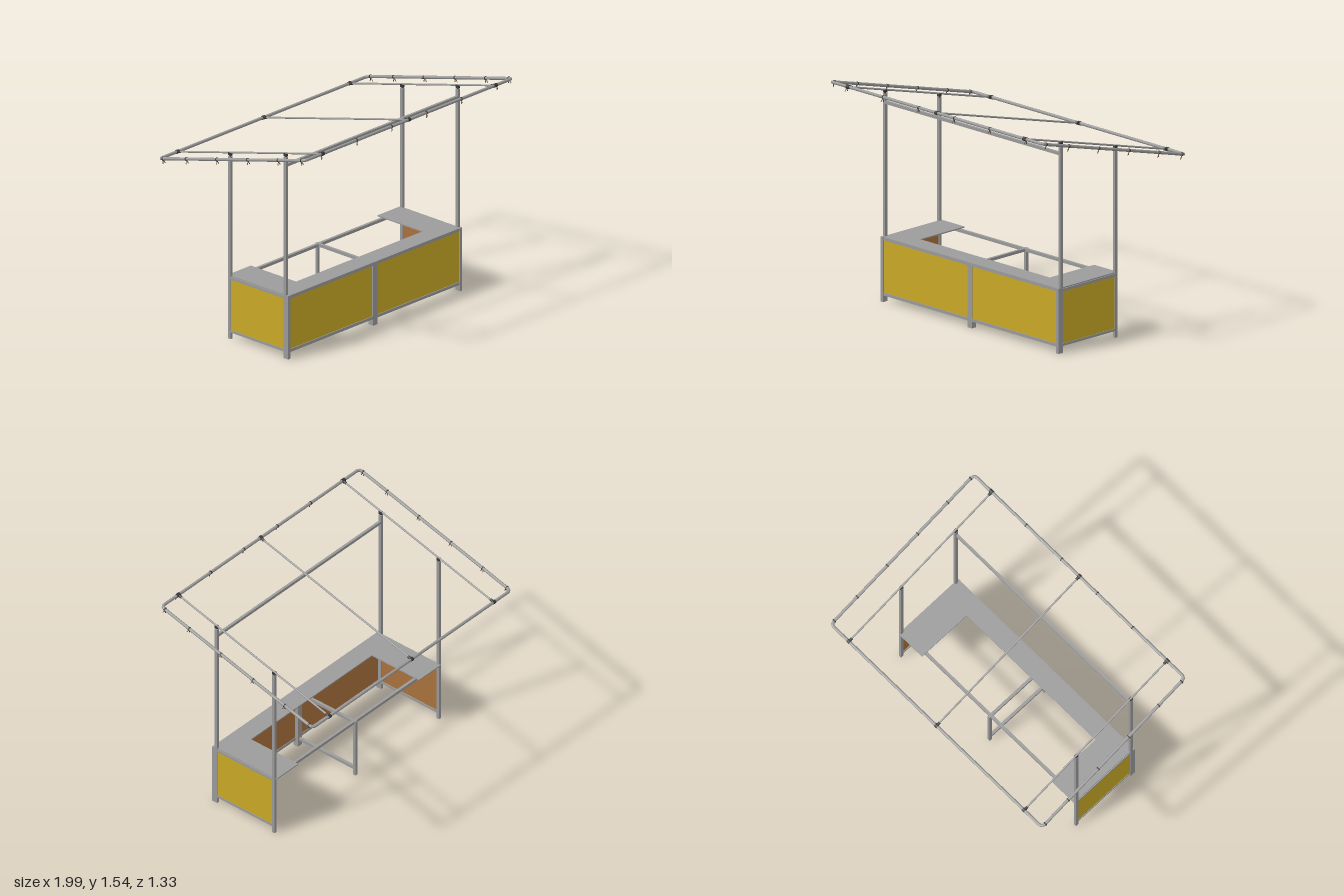
import * as THREE from 'three';

export function createModel() {
  const mat = (name, color, side = THREE.FrontSide) => {
    const m = new THREE.MeshStandardMaterial({ color, side });
    m.name = name;
    return m;
  };
  const steel = mat('steel grey', 0x9a9a9a);
  const counterGrey = mat('counter grey', 0x9c9c9c);
  const yellow = mat('panel yellow', 0xc9a825);
  const wood = mat('panel wood', 0xa8713d);
  const dark = mat('clamp dark', 0x3a3a3a);
  const clipBrown = mat('clip brown', 0x8a6a4a);

  const model = new THREE.Group();
  model.name = 'marketStall';

  const add = (parent, name, geo, material, x = 0, y = 0, z = 0) => {
    const m = new THREE.Mesh(geo, material);
    m.name = name;
    m.position.set(x, y, z);
    parent.add(m);
    return m;
  };
  // Box given by its limits on each axis
  const box = (name, [x0, x1], [y0, y1], [z0, z1], material) =>
    add(model, name, new THREE.BoxGeometry(x1 - x0, y1 - y0, z1 - z0), material,
      (x0 + x1) / 2, (y0 + y1) / 2, (z0 + z1) / 2);
  // Round bar between two points
  const bar = (parent, name, a, b, r, material, sides = 12) => {
    const p = new THREE.Vector3(...a), q = new THREE.Vector3(...b);
    const d = q.clone().sub(p);
    const m = add(parent, name, new THREE.CylinderGeometry(r, r, d.length(), sides), material);
    m.position.copy(p).add(q).multiplyScalar(0.5);
    m.quaternion.setFromUnitVectors(new THREE.Vector3(0, 1, 0), d.normalize());
    return m;
  };

  // U-shaped counter top
  const top = new THREE.Shape();
  [[-0.815, -0.34], [0.815, -0.34], [0.815, 0.195], [0.6, 0.195],
    [0.6, -0.21], [-0.6, -0.21], [-0.6, 0.195], [-0.815, 0.195]]
    .forEach(([x, y], i) => (i ? top.lineTo(x, y) : top.moveTo(x, y)));
  const topGeo = new THREE.ExtrudeGeometry(top, { depth: 0.008, bevelEnabled: false });
  topGeo.rotateX(-Math.PI / 2);
  add(model, 'counterTop', topGeo, counterGrey, 0, 0.434, 0);

  // Front frame: rails, middle posts and two panels, yellow outside and wood inside
  box('frontTopRail', [-0.82, 0.82], [0.42, 0.442], [0.33, 0.348], steel);
  box('frontBottomRail', [-0.82, 0.82], [0.045, 0.065], [0.33, 0.348], steel);
  box('innerTopRail', [-0.8, 0.8], [0.414, 0.434], [0.305, 0.323], steel);
  box('middleFrontPost', [-0.02, 0.02], [0, 0.442], [0.31, 0.35], steel);
  for (const s of [-1, 1]) {
    const a = s < 0 ? -0.802 : 0.02, b = s < 0 ? -0.02 : 0.802;
    box('frontPanel', [a, b], [0.065, 0.42], [0.334, 0.342],
      [wood, wood, wood, wood, yellow, wood]);
  }

  // Middle support frame and back rail
  box('backTopRail', [-0.8, 0.8], [0.414, 0.434], [-0.166, -0.146], steel);
  box('middleBackPost', [-0.01, 0.01], [0, 0.434], [-0.176, -0.156], steel);
  box('middleTopRail', [-0.01, 0.01], [0.414, 0.434], [-0.156, 0.31], steel);
  box('middleBottomRail', [-0.01, 0.01], [0.045, 0.065], [-0.156, 0.31], steel);

  // Roof plane
  const tilt = 0.26, roofY = 1.35;
  const roofAt = z => roofY + Math.tan(tilt) * z;
  const postZ = [0.32, -0.176];

  // Ends: posts, rails, panel and post connectors
  for (const s of [-1, 1]) {
    const span = (a, b) => (s > 0 ? [a, b] : [-b, -a]);
    box('frontCornerPost', span(0.802, 0.824), [0, 0.442], [0.331, 0.35], steel);
    for (const z of postZ) {
      const h = roofAt(z) - 0.025;
      box('tallPost', span(0.804, 0.824), [0, h], [z - 0.011, z + 0.011], steel);
      bar(model, 'postConnector', [s * 0.814, h - 0.01, z], [s * 0.814, h + 0.025, z], 0.007, dark);
      add(model, 'postClamp', new THREE.BoxGeometry(0.018, 0.02, 0.024), dark,
        s * 0.814, h + 0.016, z);
    }
    box('sideTopRail', span(0.804, 0.822), [0.416, 0.434], [-0.166, 0.31], steel);
    box('sideBottomRail', span(0.804, 0.822), [0.045, 0.062], [-0.166, 0.31], steel);
    const faces = [wood, wood, wood, wood, wood, wood];
    faces[s > 0 ? 0 : 1] = yellow;
    box('sidePanel', span(0.81, 0.818), [0.062, 0.416], [-0.166, 0.31], faces);
  }
  box('crossRail', [-0.804, 0.804], [1.342, 1.362], [0.312, 0.33], steel);

  // Tilted roof frame with rounded corners
  const roof = new THREE.Group();
  roof.name = 'roofFrame';
  roof.position.y = roofY;
  roof.rotation.x = -tilt;
  model.add(roof);
  const X = 0.981, Z = 0.672, R = 0.03;
  const v = (x, z) => new THREE.Vector3(x, 0, z);
  const path = new THREE.CurvePath();
  const corners = [[1, 1], [-1, 1], [-1, -1], [1, -1]];
  corners.forEach(([cx, cz], i) => {
    const [nx, nz] = corners[(i + 1) % 4];
    const alongX = cz === nz;
    const start = alongX ? v(cx * (X - R), cz * Z) : v(cx * X, cz * (Z - R));
    const end = alongX ? v(nx * (X - R), nz * Z) : v(nx * X, nz * (Z - R));
    const next = alongX ? v(nx * X, nz * (Z - R)) : v(nx * (X - R), nz * Z);
    path.add(new THREE.LineCurve3(start, end));
    path.add(new THREE.QuadraticBezierCurve3(end, v(nx * X, nz * Z), next));
  });
  add(roof, 'roofEdgeTube', new THREE.TubeGeometry(path, 500, 0.0105, 10, true), steel);

  // Roof rafters with clamps at both ends
  for (const x of [-0.815, 0, 0.815]) {
    bar(roof, 'rafter', [x, 0, -Z], [x, 0, Z], 0.0065, steel);
    for (const s of [-1, 1]) {
      bar(roof, 'rafterClamp', [x - 0.011, 0, s * Z], [x + 0.011, 0, s * Z], 0.0135, dark);
      bar(roof, 'rafterSleeve', [x, 0, s * (Z - 0.03)], [x, 0, s * Z], 0.0095, dark);
    }
  }

  // Hanging clips along the front edge and both sides
  const clip = (x, z, turn) => {
    const g = new THREE.Group();
    g.name = 'hangingClip';
    g.position.set(x, 0, z);
    g.rotation.y = turn;
    bar(g, 'clipBand', [-0.004, 0, 0], [0.004, 0, 0], 0.0125, dark, 10);
    bar(g, 'clipLeg', [0, -0.008, 0.002], [-0.008, -0.034, 0.004], 0.0028, clipBrown, 6);
    bar(g, 'clipLeg', [0, -0.008, 0.002], [0.007, -0.029, -0.004], 0.0028, dark, 6);
    roof.add(g);
  };
  for (const s of [-1, 1]) {
    for (const x of [0.165, 0.495, 0.83]) clip(s * x, Z, 0);
    for (const z of [0.143, 0.425, 0.64]) {
      clip(X, s * z, Math.PI / 2);
      clip(-X, s * z, -Math.PI / 2);
    }
  }
  return model;
}
